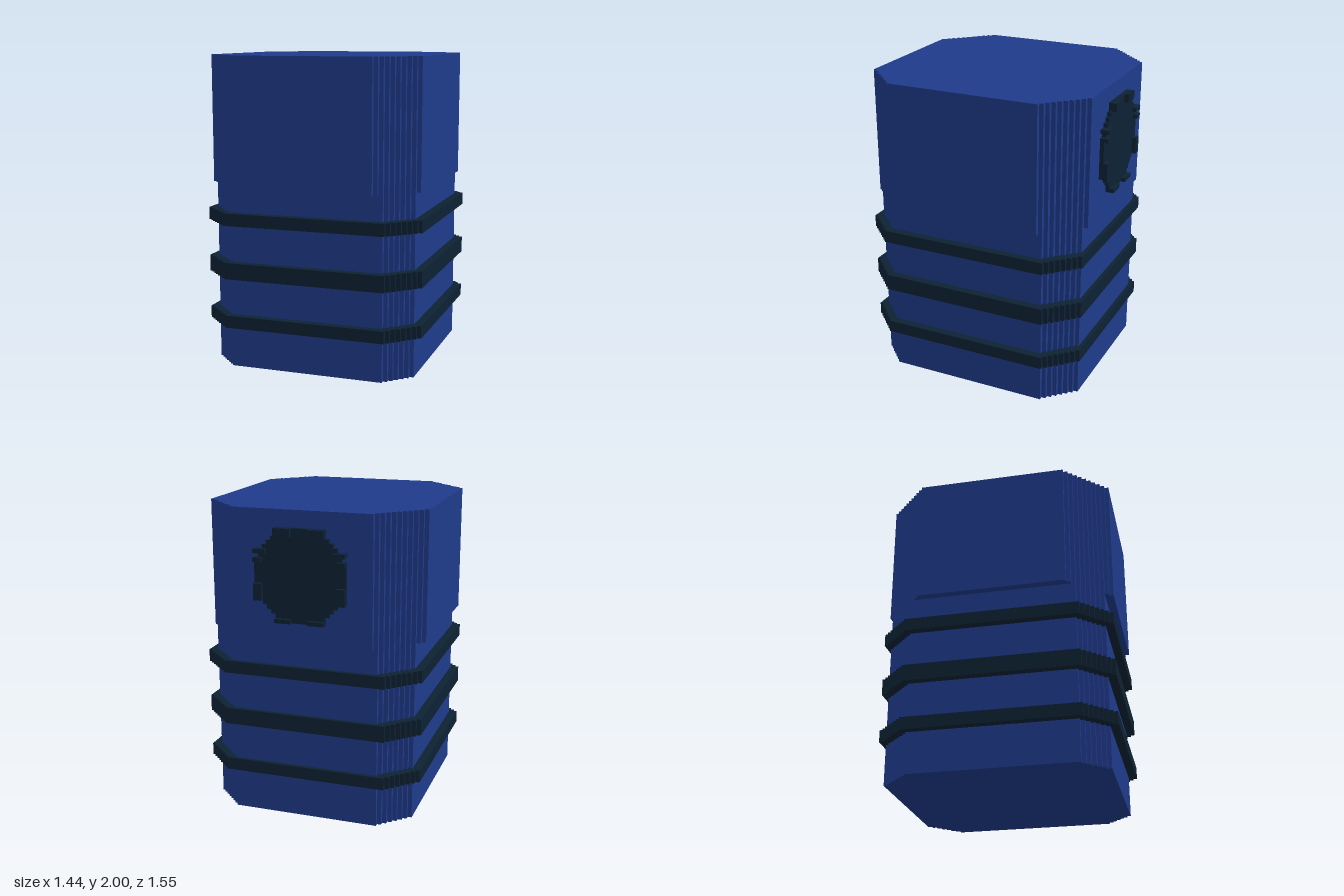
import * as THREE from 'three';

const V = 2 / 75; // edge of one grid cell

// Octagon outline with stair-stepped corners; each corner keeps |x| + |z| <= its limit
function steppedOctagon(left, right, back, front, backSum, frontSum) {
  const corners = [
    [right, front, frontSum, 1, 1],
    [left, front, frontSum, -1, 1],
    [left, back, backSum, -1, -1],
    [right, back, backSum, 1, -1],
  ];
  const points = [];
  corners.forEach(([X, Z, sum, sx, sz], i) => {
    const run = [];
    for (let x = X; x >= sum - Z; x--) {
      run.push([x, sum - x]);
      if (x > sum - Z) run.push([x - 1, sum - x]);
    }
    if (i % 2) run.reverse();
    run.forEach(([x, z]) => points.push(new THREE.Vector2(x * sx, -z * sz)));
  });
  return new THREE.Shape(points);
}

// Round outline made of whole cells
function steppedDisc(radius) {
  const side = [];
  for (let j = -radius; j < radius; j++) {
    const w = Math.round(Math.sqrt((radius + 0.15) ** 2 - (j + 0.5) ** 2));
    side.push([w, j], [w, j + 1]);
  }
  const mirrored = side.map(([x, y]) => [-x, y]).reverse();
  return new THREE.Shape([...side, ...mirrored].map(([x, y]) => new THREE.Vector2(x, y)));
}

export function createModel() {
  const group = new THREE.Group();
  const blue = new THREE.MeshStandardMaterial({ color: 0x1e3a8a });
  blue.name = 'blue';
  const dark = new THREE.MeshStandardMaterial({ color: 0x0d2233 });
  dark.name = 'dark navy';

  function add(name, geometry, material) {
    geometry.scale(V, V, V);
    const mesh = new THREE.Mesh(geometry, material);
    mesh.name = name;
    group.add(mesh);
  }

  // Vertical prism between two heights
  function prism(name, shape, y0, y1, material) {
    const g = new THREE.ExtrudeGeometry(shape, { depth: y1 - y0, bevelEnabled: false });
    g.rotateX(-Math.PI / 2);
    g.translate(0, y0, 0);
    add(name, g, material);
  }

  // Body, and the wider section above it
  prism('lowerBody', steppedOctagon(25, 25, 26, 27, 44, 46), 0, 44, blue);
  prism('upperBody', steppedOctagon(27, 26, 27, 29, 44, 46), 44, 75, blue);

  // Three dark hoops
  [[10, 13], [22, 26], [35, 38]].forEach(([y0, y1], i) =>
    prism('hoop' + (i + 1), steppedOctagon(27, 27, 27, 29, 47, 49), y0, y1, dark));

  // Round cap on the back
  const capY = 60;
  const cap = new THREE.ExtrudeGeometry(steppedDisc(11), { depth: 1, bevelEnabled: false });
  cap.translate(0, capY, -28);
  add('backCap', cap, dark);

  // Studs around the cap rim, mirrored: x0, x1, y0, y1 from the cap centre
  const studs = [
    [2, 6, 9, 11],
    [8, 11, 5, 6],
    [9, 11, 3, 4],
    [9, 11, -6, -2],
    [2, 6, -11, -10],
  ];
  for (const side of [1, -1]) {
    for (const [x0, x1, y0, y1] of studs) {
      const g = new THREE.BoxGeometry(x1 - x0, y1 - y0, 2);
      g.translate((side * (x0 + x1)) / 2, capY + (y0 + y1) / 2, -28);
      add('capStud', g, dark);
    }
  }
  return group;
}
